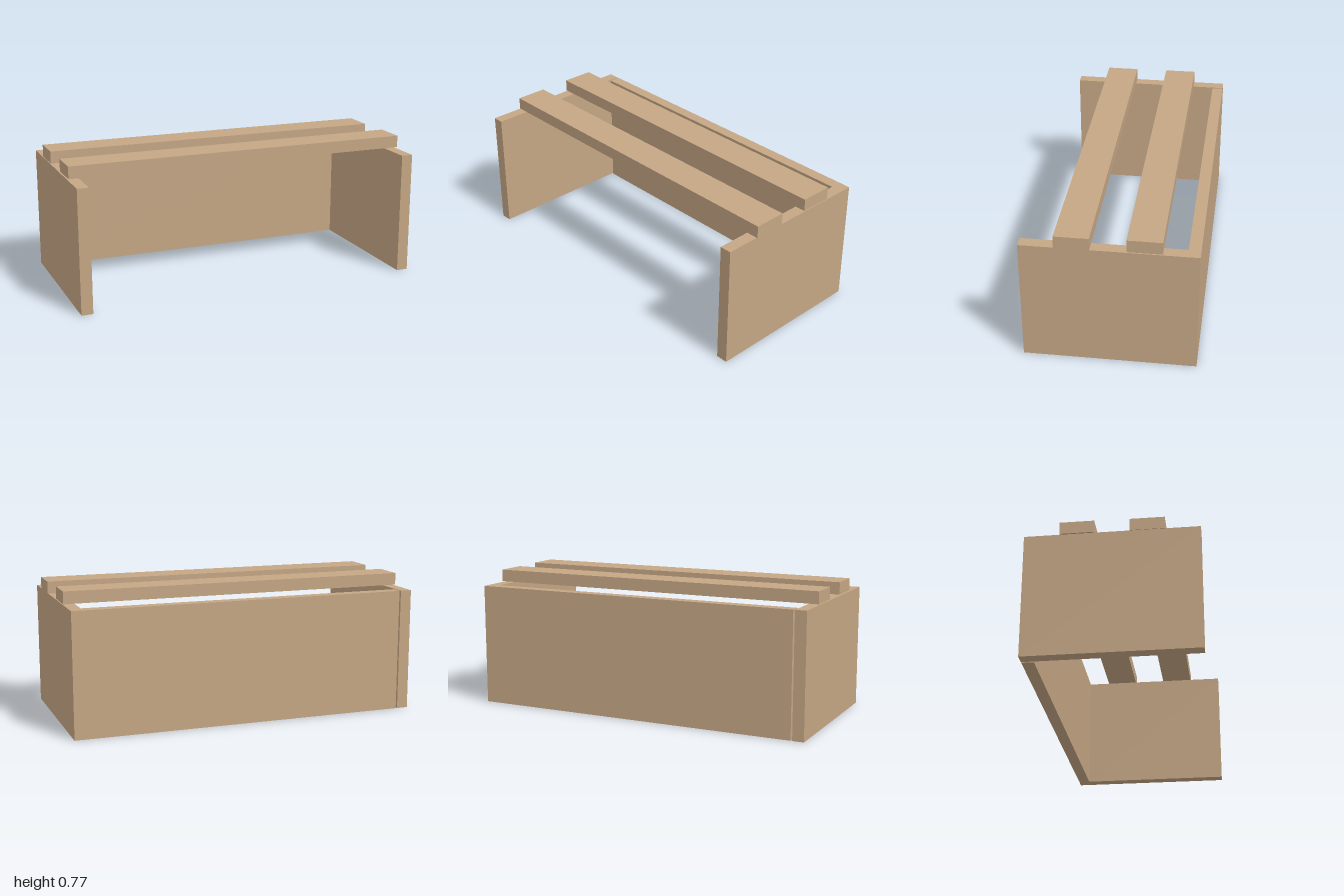
import * as THREE from 'three';

export function createModel() {
  const group = new THREE.Group();
  const wood = new THREE.MeshStandardMaterial({ color: 0xc4a684 });

  // Board given by its [min, max] extent on each axis
  const board = (name, [x0, x1], [y0, y1], [z0, z1]) => {
    const mesh = new THREE.Mesh(new THREE.BoxGeometry(x1 - x0, y1 - y0, z1 - z0), wood);
    mesh.position.set((x0 + x1) / 2, (y0 + y1) / 2, (z0 + z1) / 2);
    mesh.name = name;
    group.add(mesh);
  };

  const panelY = [0, 0.697];
  const slatY = [0.702, 0.771];

  // Upright panels: the back board runs through to the left corner
  board('rightSidePanel', [-1, -0.935], panelY, [-0.465, 0.465]);
  board('leftSidePanel', [0.924, 0.99], panelY, [-0.4, 0.465]);
  board('backPanel', [-0.926, 0.99], panelY, [-0.465, -0.4]);

  // Two seat slats, slightly offset lengthwise
  board('frontSlat', [-0.995, 1], slatY, [0.094, 0.278]);
  board('backSlat', [-1, 0.99], slatY, [-0.277, -0.093]);

  return group;
}
